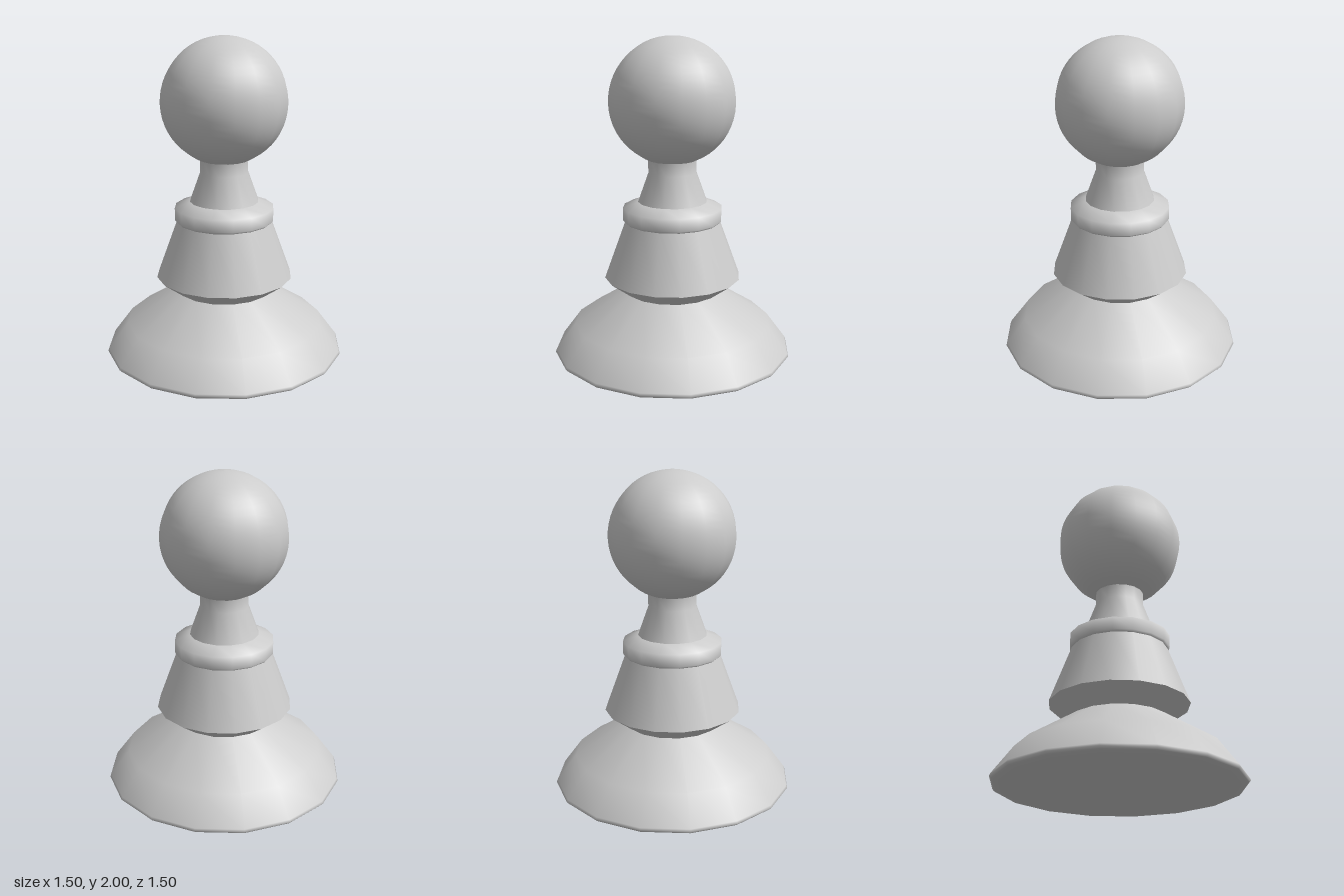
import * as THREE from 'three';

const SIDES = 16;
const material = new THREE.MeshStandardMaterial({ color: 0xcccccc });

// Turned part from [radius, height] pairs, listed bottom to top
function turned(name, profile) {
  const points = profile.map(([r, y]) => new THREE.Vector2(r, y));
  const mesh = new THREE.Mesh(new THREE.LatheGeometry(points, SIDES), material);
  mesh.name = name;
  return mesh;
}

export function createModel() {
  const group = new THREE.Group();
  group.name = 'pawn';

  // Foot: flat underside, rounded rim, two sloping bands
  group.add(turned('underside', [[0, 0], [0.7, 0.005]]));
  group.add(turned('base', [
    [0.7, 0.005], [0.738, 0.012], [0.75, 0.025], [0.743, 0.04], [0.62, 0.207], [0.3, 0.412],
  ]));

  // Undercut and flared body, with a sharp edge between them
  group.add(turned('undercut', [[0.3, 0.412], [0.427, 0.505]]));
  group.add(turned('body', [[0.427, 0.505], [0.298, 0.86]]));

  // Collar and tapering neck
  group.add(turned('collar', [[0.298, 0.86], [0.31, 0.872], [0.31, 0.95], [0.215, 0.988]]));
  group.add(turned('neck', [[0.215, 0.988], [0.15, 1.17], [0.15, 1.25]]));

  // Ball head, open where it meets the neck
  const radius = 0.39, rings = 24, start = Math.asin(0.15 / radius);
  const arc = [];
  for (let i = 0; i <= rings; i++) {
    const a = start + (Math.PI - start) * (i / rings);
    arc.push([i === rings ? 0 : radius * Math.sin(a), 1.61 - radius * Math.cos(a)]);
  }
  group.add(turned('head', arc));

  return group;
}
